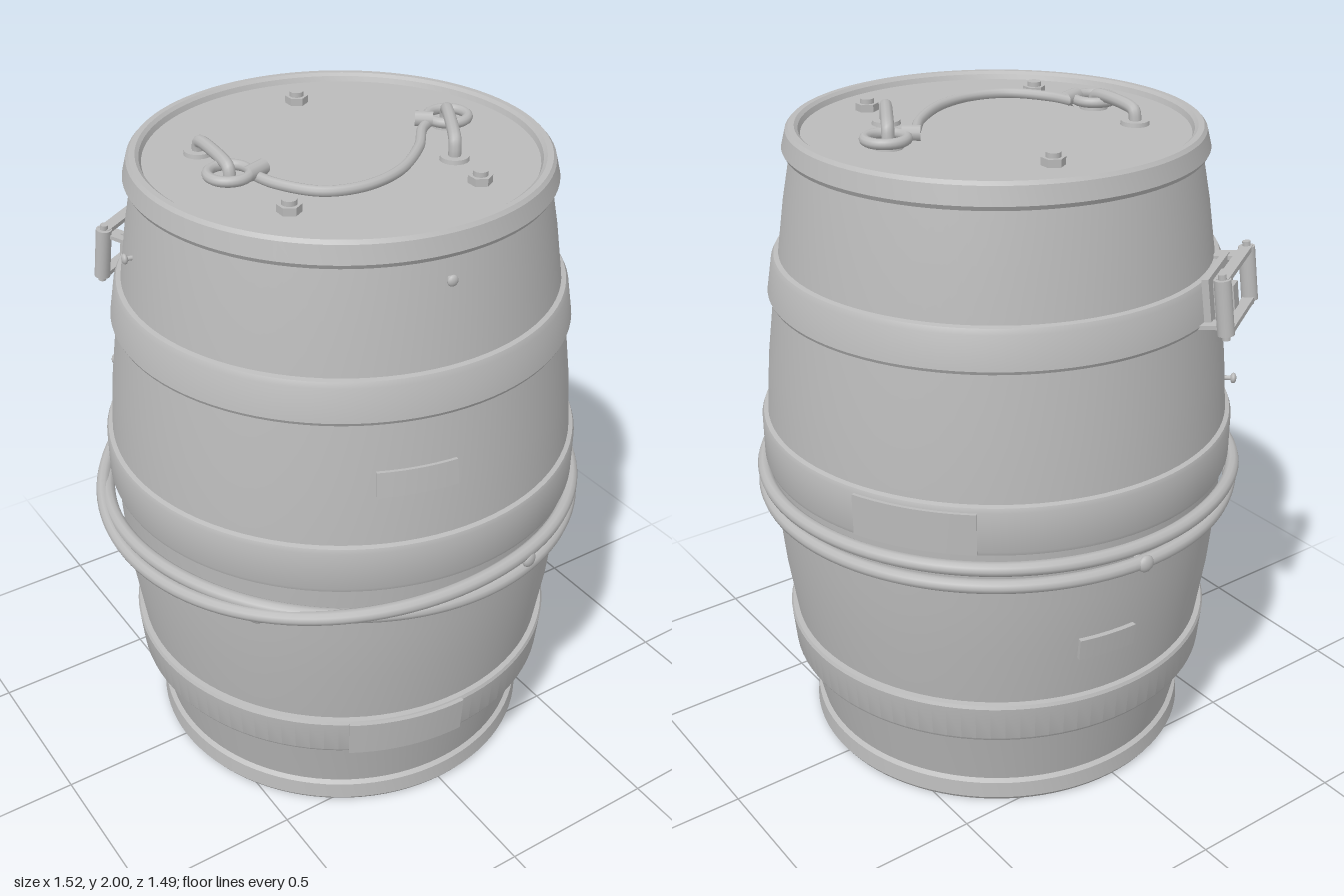
import * as THREE from 'three';
import { toCreasedNormals } from 'three/addons/utils/BufferGeometryUtils.js';

const CX = 0.013, CZ = 0.018; // barrel axis
const LID = 1.922;
const V = (x, y, z) => new THREE.Vector3(x, y, z);

// Barrel outline from the bottom centre, up the side, to the lid centre
const PROFILE = [
  [0, 0.006], [0.575, 0.006], [0.58, 0], [0.594, 0], [0.602, 0.012], [0.597, 0.062], [0.583, 0.07],
  [0.605, 0.17], [0.627, 0.268], [0.653, 0.27], [0.659, 0.28], [0.669, 0.39], [0.664, 0.4], [0.648, 0.402],
  [0.673, 0.58], [0.688, 0.75], [0.697, 0.936], [0.711, 0.938], [0.715, 0.95], [0.715, 1.07], [0.71, 1.083], [0.697, 1.087],
  [0.684, 1.25], [0.657, 1.452], [0.668, 1.454], [0.673, 1.464], [0.657, 1.56], [0.649, 1.575], [0.635, 1.578],
  [0.612, 1.73], [0.585, 1.868], [0.6, 1.872], [0.607, 1.885], [0.594, 1.935], [0.585, 1.945], [0.568, 1.945],
  [0.558, 1.937], [0.552, LID], [0, LID],
];

// Outer radius at height y
function radiusAt(y) {
  for (let i = 4; i < PROFILE.length - 1; i++) {
    const [r0, y0] = PROFILE[i], [r1, y1] = PROFILE[i + 1];
    if (y >= y0 && y <= y1 && y1 > y0) return r0 + (r1 - r0) * (y - y0) / (y1 - y0);
  }
  return 0.6;
}

export function createModel() {
  const group = new THREE.Group();
  const grey = new THREE.MeshStandardMaterial({ color: 0xbababa });
  grey.name = 'grey';

  function add(name, geometry, pos = [0, 0, 0], parent = group) {
    const m = new THREE.Mesh(geometry, grey);
    m.name = name;
    m.position.set(...pos);
    parent.add(m);
    return m;
  }
  const tube = (points, radius, closed = false, segments = 60) =>
    new THREE.TubeGeometry(new THREE.CatmullRomCurve3(points, closed, 'centripetal'), segments, radius, 10, closed);

  // Barrel with hoops, rim and recessed lid
  const lathe = new THREE.LatheGeometry(PROFILE.map(p => new THREE.Vector2(...p)), 96);
  add('barrel', toCreasedNormals(lathe, 0.45), [CX, 0, CZ]);

  // Plates bent around the barrel wall
  function plate(name, angle, y, w, h, thick) {
    const geo = new THREE.BoxGeometry(w, h, thick, 10, 1, 1);
    const p = geo.attributes.position;
    for (let i = 0; i < p.count; i++) {
      const yy = y + p.getY(i);
      const r = radiusAt(yy) + p.getZ(i);
      const a = angle + p.getX(i) / radiusAt(y);
      p.setXYZ(i, CX + r * Math.sin(a), yy, CZ + r * Math.cos(a));
    }
    geo.computeVertexNormals();
    add(name, geo);
  }
  plate('upperFrontPlate', -0.275, 1.275, 0.23, 0.075, 0.018);
  plate('lowerFrontPlate', -0.27, 0.335, 0.36, 0.122, 0.026);
  plate('leftPlate', 2.19, 1.007, 0.36, 0.126, 0.02);
  plate('backPlate', 3.0, 0.58, 0.18, 0.07, 0.03);

  // Rope wound twice around the barrel, slack on one side
  function ropeRing(name, y, dip) {
    const points = [];
    for (let i = 0; i < 48; i++) {
      const a = i / 48 * Math.PI * 2;
      const slack = Math.max(0, Math.cos(a + 1.3)) ** 2;
      const r = 0.72 + (dip < 0 ? 0.04 : 0.015) * slack;
      points.push(V(CX + r * Math.sin(a), y + dip * slack, CZ + r * Math.cos(a)));
    }
    add(name, tube(points, 0.021, true, 120));
  }
  ropeRing('upperRope', 0.9, -0.045);
  ropeRing('lowerRope', 0.845, 0.04);

  // Round pegs in the wall
  for (const [x, y, z, r] of [
    [0.2, 0.877, 0.725, 0.025], [-0.555, 0.825, 0.45, 0.03], [0.03, 0.845, -0.715, 0.026],
    [-0.05, 1.81, 0.625, 0.016], [-0.61, 1.715, -0.105, 0.015], [-0.505, 1.18, -0.475, 0.016],
  ]) {
    const out = V(x - CX, 0, z - CZ).normalize();
    const head = add('peg', new THREE.SphereGeometry(r, 16, 10), [x, y, z]);
    head.scale.z = 0.6;
    head.rotation.y = Math.atan2(out.x, out.z);
    const inner = V(x, y, z).addScaledVector(out, -0.07);
    add('pegStem', tube([inner, V(x, y, z)], r * 0.45, false, 2));
  }

  // Hex nuts on the lid
  for (const [x, z] of [[0.11, -0.37], [-0.305, 0.26], [0.215, 0.385]]) {
    add('nut', toCreasedNormals(new THREE.CylinderGeometry(0.034, 0.034, 0.022, 6), 0.4), [x, LID + 0.011, z]);
    add('bolt', new THREE.CylinderGeometry(0.021, 0.021, 0.036, 16), [x, LID + 0.018, z]);
  }

  // Bent handles: a foot at one end, an eye ring at the other
  function handle(name, [x0, z0], [x1, z1], top, [rx, rz]) {
    const g = new THREE.Group();
    g.name = name;
    group.add(g);
    const at = (t, y) => V(x0 + (x1 - x0) * t, y, z0 + (z1 - z0) * t);
    add('bar', tube([at(0, LID), at(0, top - 0.03), at(0.03, top - 0.008), at(0.12, top), at(0.88, top),
      at(0.97, top - 0.008), at(1, top - 0.03), at(1, LID)], 0.018), [0, 0, 0], g);
    for (const [x, z] of [[x0, z0], [x1, z1]])
      add('foot', new THREE.CylinderGeometry(0.04, 0.042, 0.012, 24), [x, LID + 0.006, z], g);
    const ring = add('eyeRing', new THREE.TorusGeometry(0.058, 0.015, 10, 32), [rx, LID + 0.027, rz], g);
    ring.rotation.x = Math.PI / 2;
  }
  handle('rightHandle', [-0.32, -0.195], [-0.34, 0.015], 1.966, [-0.345, 0.02]);
  handle('leftHandle', [0.25, 0.225], [0.375, 0.015], 1.982, [0.382, 0.015]);

  // Cable between the two eyes, with crimps
  const cy = LID + 0.02;
  add('lidCable', tube([[-0.29, 0.04], [-0.268, 0.13], [-0.19, 0.24], [-0.08, 0.273], [0.05, 0.243],
    [0.19, 0.14], [0.275, 0.04], [0.335, 0.0]].map(([x, z]) => V(x, cy, z)), 0.015));
  add('rightCrimp', tube([V(-0.315, cy + 0.012, 0.065), V(-0.25, cy + 0.012, 0.042)], 0.022, false, 2));
  add('leftCrimp', tube([V(0.285, cy + 0.012, -0.01), V(0.325, cy + 0.012, 0.022)], 0.022, false, 2));

  // Clasp on the back: two upright pins, links and a catch
  const clasp = new THREE.Group();
  clasp.name = 'clasp';
  clasp.position.set(-0.372, 1.53, -0.585);
  clasp.rotation.set(-0.13, Math.atan2(-0.385, -0.603), 0, 'YXZ');
  group.add(clasp);
  for (const s of [-1, 1]) {
    add('pin', new THREE.CylinderGeometry(0.024, 0.024, 0.16, 18), [s * 0.142, 0, 0.005], clasp);
    add('pinCore', new THREE.CylinderGeometry(0.012, 0.012, 0.19, 12), [s * 0.142, 0, 0.005], clasp);
    add('link', new THREE.BoxGeometry(0.29, 0.014, 0.035), [0, s * 0.075, 0.005], clasp);
    add('bracket', new THREE.BoxGeometry(0.05, 0.012, 0.09), [s * 0.12, s * 0.06, -0.04], clasp);
  }
  add('catchPlate', new THREE.BoxGeometry(0.1, 0.12, 0.03), [-0.045, 0, -0.02], clasp);
  add('catch', new THREE.BoxGeometry(0.05, 0.07, 0.05), [-0.045, 0, -0.01], clasp);
  add('basePlate', new THREE.BoxGeometry(0.24, 0.14, 0.02), [0, 0, -0.05], clasp);

  return group;
}
